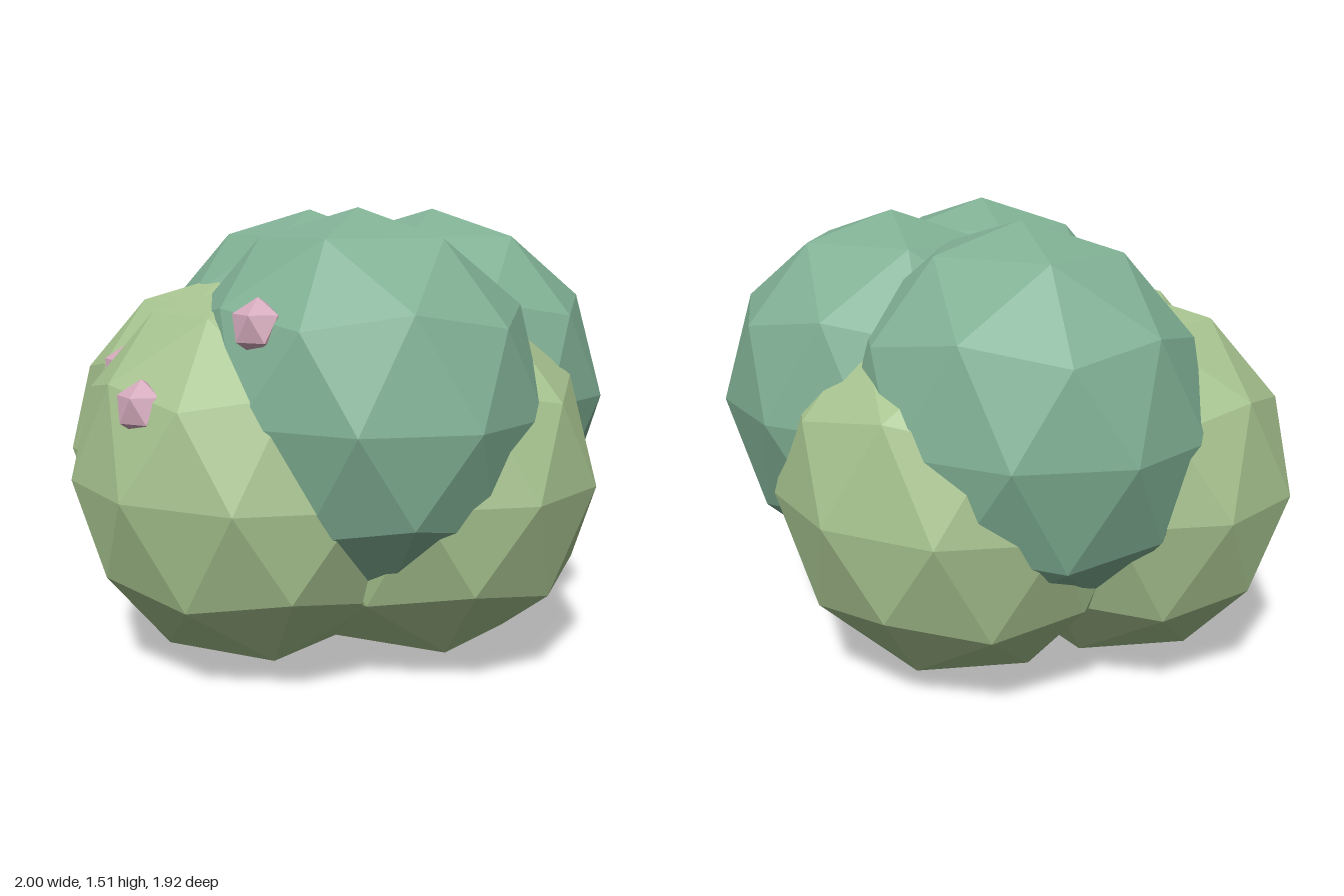
import * as THREE from 'three';

// Faceted ball with a vertex at each pole, stretched to the given radii
function facetedBall(detail, rx, ry, rz) {
  const geometry = new THREE.IcosahedronGeometry(1, detail);
  geometry.rotateZ(-Math.atan(2 / (1 + Math.sqrt(5))));
  geometry.scale(rx, ry, rz);
  geometry.computeVertexNormals(); // unindexed, so every face stays flat
  return geometry;
}

export function createModel() {
  const model = new THREE.Group();
  model.name = 'bush';

  const material = (name, color) => {
    const m = new THREE.MeshStandardMaterial({ color });
    m.name = name;
    return m;
  };
  const lightLeaf = material('light leaf green', 0xa8c490);
  const darkLeaf = material('dark leaf green', 0x80b094);
  const berryPink = material('berry pink', 0xd4aabc);

  const clumpGeometry = facetedBall(1, 0.63, 0.635, 0.56);
  const berryGeometry = facetedBall(0, 0.09, 0.09, 0.08);

  const addParts = (name, geometry, mat, positions) => {
    const group = new THREE.Group();
    group.name = name + 's';
    positions.forEach((p, i) => {
      const mesh = new THREE.Mesh(geometry, mat);
      mesh.name = name + (i + 1);
      mesh.position.set(...p);
      group.add(mesh);
    });
    model.add(group);
  };

  // Four lower clumps of foliage: front, left, back, right
  addParts('lowerClump', clumpGeometry, lightLeaf, [
    [0.03, 0.635, 0.4],
    [0.4, 0.635, -0.01],
    [-0.11, 0.635, -0.4],
    [-0.4, 0.635, 0.07],
  ]);

  // Three upper clumps
  addParts('upperClump', clumpGeometry, darkLeaf, [
    [0.335, 0.875, 0.21],
    [0.24, 0.875, -0.33],
    [-0.3, 0.875, -0.28],
  ]);

  // Berries, partly sunk into the foliage
  addParts('berry', berryGeometry, berryPink, [
    [0.33, 1.16, 0.665],
    [0.02, 0.91, 0.85],
    [-0.3, 1.16, 0.17],
    [-0.41, 0.96, 0.55],
  ]);

  return model;
}
